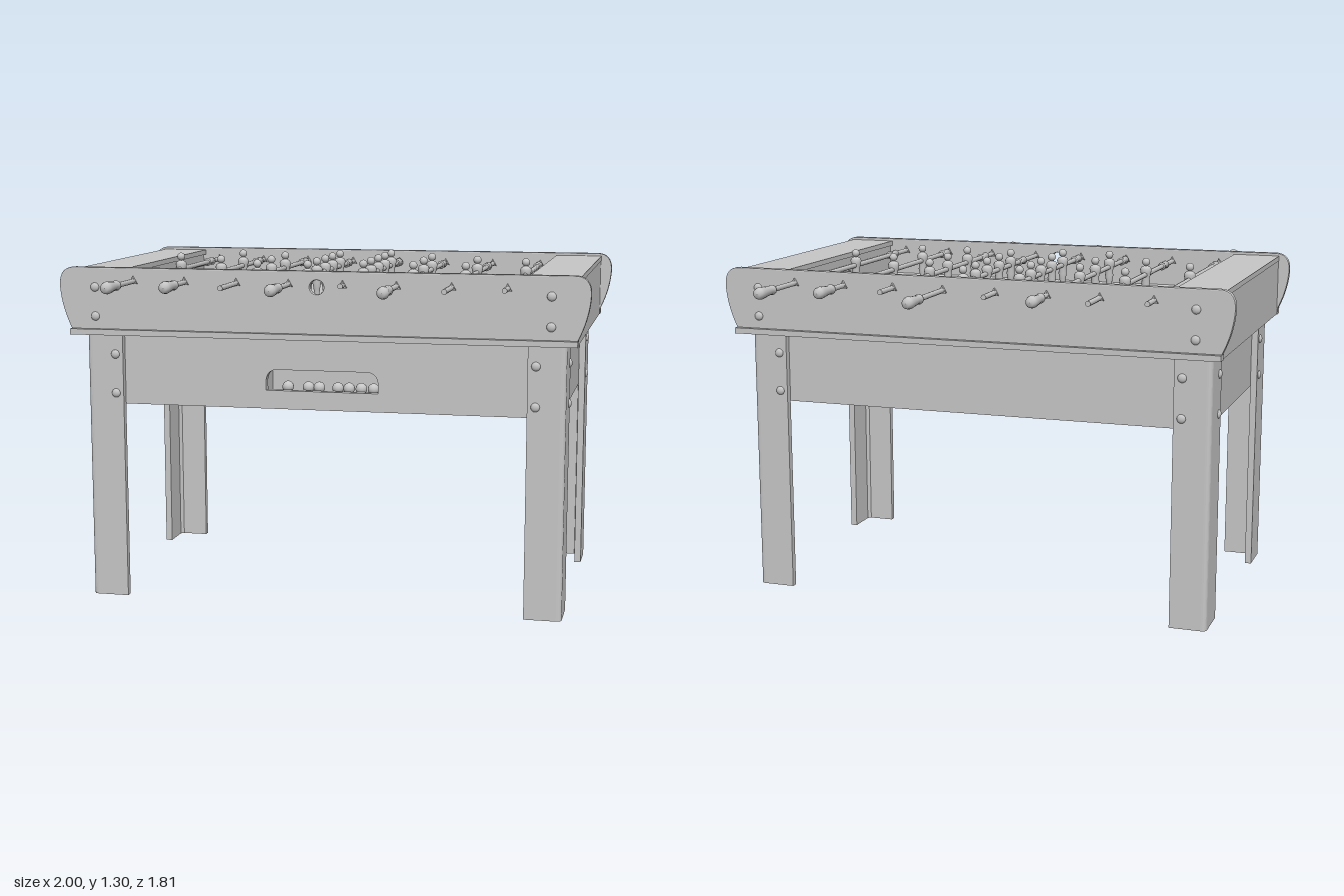
import * as THREE from 'three';

const ZC = 0.023; // middle of the cabinet along z
const FIELD = 1.122; // height of the playing surface
const grey = new THREE.MeshStandardMaterial({ color: 0xc6c6c6 });
grey.name = 'plain grey';

export function createModel() {
  const root = new THREE.Group();
  root.name = 'tableFootball';

  const add = (name, geo, x = 0, y = 0, z = 0, parent = root) => {
    const m = new THREE.Mesh(geo, grey);
    m.name = name;
    m.position.set(x, y, z);
    parent.add(m);
    return m;
  };
  // box given by its limits, z measured from the cabinet middle
  const box = (name, x0, x1, y0, y1, z0, z1) =>
    add(name, new THREE.BoxGeometry(x1 - x0, y1 - y0, z1 - z0),
      (x0 + x1) / 2, (y0 + y1) / 2, ZC + (z0 + z1) / 2);
  const rectShape = (x0, x1, y0, y1) => new THREE.Shape([
    new THREE.Vector2(x0, y0), new THREE.Vector2(x1, y0),
    new THREE.Vector2(x1, y1), new THREE.Vector2(x0, y1)]);
  const alongZ = (r, len, n = 12) => new THREE.CylinderGeometry(r, r, len, n).rotateX(Math.PI / 2);
  const bolt = new THREE.SphereGeometry(0.017, 14, 8);
  const addBolt = (x, y, z, flatX) => {
    const b = add('bolt', bolt, x, y, z);
    b.scale.set(flatX ? 0.6 : 1, 1, flatX ? 1 : 0.6);
  };

  // legs: angle sections with a rounded outer corner
  for (const sx of [-1, 1]) for (const sz of [-1, 1]) {
    const X = 0.914, Z = 0.524, w = 0.141, d = 0.163, t = 0.026, r = 0.02;
    const s = new THREE.Shape();
    const p = (x, z) => [sx * x, -sz * z];
    s.moveTo(...p(X - w, Z));
    s.lineTo(...p(X - r, Z));
    s.quadraticCurveTo(...p(X, Z), ...p(X, Z - r));
    s.lineTo(...p(X, Z - d));
    s.lineTo(...p(X - t, Z - d));
    s.lineTo(...p(X - t, Z - t - 0.012));
    s.lineTo(...p(X - t - 0.012, Z - t));
    s.lineTo(...p(X - w, Z - t));
    s.closePath();
    const g = new THREE.ExtrudeGeometry(s, { depth: 1.032, bevelEnabled: false, curveSegments: 5 });
    add('leg', g.rotateX(-Math.PI / 2), 0, 0, ZC);
    for (const y of [0.8, 0.95]) {
      addBolt(sx * 0.803, y, ZC + sz * Z);
      addBolt(sx * X, y, ZC + sz * 0.399, true);
    }
  }

  // lower cabinet with the ball slot in its front
  const front = rectShape(-0.887, 0.887, 0.756, 1.032);
  const slot = new THREE.Path();
  slot.moveTo(-0.215, 0.826);
  slot.lineTo(0.215, 0.826);
  slot.lineTo(0.215, 0.865);
  slot.quadraticCurveTo(0.21, 0.905, 0.17, 0.905);
  slot.lineTo(-0.17, 0.905);
  slot.quadraticCurveTo(-0.21, 0.905, -0.215, 0.865);
  slot.closePath();
  front.holes.push(slot);
  add('frontApron', new THREE.ExtrudeGeometry(front, { depth: 0.03, bevelEnabled: false }), 0, 0, ZC + 0.467);
  box('backApron', -0.887, 0.887, 0.756, 1.032, -0.497, -0.467);
  for (const s of [-1, 1]) {
    const x = s * 0.872;
    box('sideApron', x - 0.015, x + 0.015, 0.756, 1.032, -0.467, 0.467);
  }
  box('cabinetBottom', -0.857, 0.857, 0.776, 0.79, -0.467, 0.467);

  // ball tray and balls
  box('trayFloor', -0.225, 0.225, 0.8, 0.812, 0.38, 0.467);
  box('trayBack', -0.225, 0.225, 0.8, 0.93, 0.37, 0.38);
  box('trayTop', -0.225, 0.225, 0.92, 0.93, 0.38, 0.467);
  for (const s of [-1, 1]) box('traySide', s * 0.225 - 0.005, s * 0.225 + 0.005, 0.8, 0.93, 0.37, 0.467);
  const ball = new THREE.SphereGeometry(0.022, 16, 12);
  for (const x of [-0.144, -0.064, -0.022, 0.05, 0.093, 0.14, 0.187]) add('ball', ball, x, 0.834, ZC + 0.44);

  // playing field and the two end compartments with goals
  box('cabinetFloor', -0.955, 0.955, 1.032, 1.05, -0.546, 0.546);
  box('playfield', -0.933, 0.933, FIELD - 0.015, FIELD, -0.546, 0.546);
  for (const s of [-1, 1]) {
    const span = (a, b) => (s > 0 ? [a, b] : [-b, -a]);
    box('endWall', ...span(0.933, 0.955), 1.05, 1.256, -0.546, 0.546);
    box('endTop', ...span(0.77, 0.957), 1.254, 1.274, -0.546, 0.546);
    const wall = rectShape(-0.546, 0.546, FIELD, 1.254);
    const goal = new THREE.Path();
    goal.moveTo(-0.13, FIELD + 0.002);
    goal.lineTo(0.13, FIELD + 0.002);
    goal.lineTo(0.13, 1.18);
    goal.lineTo(0.11, 1.195);
    goal.lineTo(-0.11, 1.195);
    goal.lineTo(-0.13, 1.18);
    goal.closePath();
    wall.holes.push(goal);
    const g = new THREE.ExtrudeGeometry(wall, { depth: 0.015, bevelEnabled: false });
    add('goalWall', g.rotateY(Math.PI / 2), s * 0.7875 - 0.0075, 0, ZC);
    box('goalWallRail', ...span(0.772, 0.782), 1.205, 1.222, -0.546, 0.546);

    // low ramp along each long side of the field
    const ramp = new THREE.Shape([new THREE.Vector2(0, 0), new THREE.Vector2(0.045, 0), new THREE.Vector2(0, 0.012)]);
    const rg = new THREE.ExtrudeGeometry(ramp, { depth: 1.56, bevelEnabled: false }).translate(0, 0, -0.78);
    add('fieldRamp', rg.rotateY(s * Math.PI / 2), 0, FIELD, ZC + s * 0.546);
  }

  // long side panels and the ledges beneath; the front one has the ball entry hole
  for (const s of [-1, 1]) {
    const p = new THREE.Shape();
    p.moveTo(-0.953, 1.054);
    p.lineTo(0.953, 1.054);
    p.quadraticCurveTo(0.99, 1.13, 0.996, 1.205);
    p.bezierCurveTo(1.0, 1.25, 0.985, 1.281, 0.94, 1.281);
    p.lineTo(-0.94, 1.281);
    p.bezierCurveTo(-0.985, 1.281, -1.0, 1.25, -0.996, 1.205);
    p.quadraticCurveTo(-0.99, 1.13, -0.953, 1.054);
    if (s > 0) {
      const hole = new THREE.Path();
      hole.absarc(0, 1.225, 0.031, 0, Math.PI * 2, true);
      p.holes.push(hole);
    }
    const g = new THREE.ExtrudeGeometry(p, {
      depth: 0.02, bevelThickness: 0.004, bevelSize: 0.004, bevelSegments: 2, curveSegments: 14 });
    add('sidePanel', g, 0, 0, ZC + s * 0.56 - 0.01);
    const z = s * 0.569;
    box('ledge', -0.957, 0.957, 1.03, 1.052, z - 0.023, z + 0.023);
    for (const sx of [-1, 1]) for (const y of [1.1, 1.21]) addBolt(sx * 0.86, y, ZC + s * 0.574);
  }

  // player figure, turned on a lathe, with a foot block
  const v = (a) => a.map(([x, y]) => new THREE.Vector2(x, y));
  const bodyGeo = new THREE.LatheGeometry(v([[0, -0.1], [0.011, -0.1], [0.01, -0.08], [0.013, -0.055],
    [0.017, -0.035], [0.015, -0.015], [0.02, 0.004], [0.023, 0.02], [0.018, 0.03], [0.007, 0.035], [0, 0.036]]), 14);
  const headGeo = new THREE.SphereGeometry(0.016, 14, 10);
  const footGeo = new THREE.BoxGeometry(0.028, 0.02, 0.024);

  // handle profile from its inner end to its outer end
  const handleGeo = new THREE.LatheGeometry(v([[0, 0], [0.018, 0], [0.019, 0.006], [0.016, 0.014], [0.017, 0.035],
    [0.021, 0.075], [0.023, 0.1], [0.02, 0.116], [0.012, 0.123], [0, 0.125]]), 18);
  // waisted stops, and three-sided bearings in the panels
  const stopGeo = new THREE.LatheGeometry(v([[0, -0.032], [0.017, -0.032], [0.011, 0], [0.017, 0.032], [0, 0.032]]), 10)
    .rotateX(Math.PI / 2);
  const bearingGeo = alongZ(0.019, 0.05, 3).rotateZ(Math.PI);

  // each rod: x, plain end, handle start, figures, stops
  const rods = [
    [-0.706, -0.647, 0.777, [0.02], [-0.37, 0.47]],
    [-0.506, -0.705, 0.72, [-0.2, 0.12], [-0.43, 0.415]],
    [-0.306, 0.805, -0.622, [-0.128, 0.09, 0.3], [-0.44, 0.515]],
    [-0.106, -0.675, 0.75, [-0.265, -0.125, 0.005, 0.15, 0.3], [-0.41, 0.495]],
    [0.098, 0.64, -0.785, [-0.335, -0.195, -0.06, 0.085, 0.23], [-0.48, 0.365]],
    [0.298, -0.675, 0.75, [-0.175, 0.025, 0.255], [-0.43, 0.45]],
    [0.5, 0.767, -0.66, [-0.06, 0.255], [-0.355, 0.51]],
    [0.702, 0.685, -0.74, [0.02], [-0.43, 0.41]],
  ];
  for (const [x, end, grip, men, stops] of rods) {
    const rod = new THREE.Group();
    rod.name = 'rod';
    rod.position.set(x, 1.235, 0);
    root.add(rod);
    add('bar', alongZ(0.01, Math.abs(grip - end)), 0, 0, (grip + end) / 2, rod);
    const h = add('handle', handleGeo, 0, 0, grip, rod);
    h.rotation.x = Math.sign(grip) * Math.PI / 2;
    for (const z of stops) add('stop', stopGeo, 0, 0, z, rod);
    for (const s of [-1, 1]) add('bearing', bearingGeo, 0, 0, ZC + s * 0.56, rod);
    for (const z of men) {
      add('figureBody', bodyGeo, 0, 0, z, rod);
      add('figureHead', headGeo, 0, 0.05, z, rod);
      add('figureFoot', footGeo, 0, -0.096, z, rod);
    }
  }
  return root;
}
